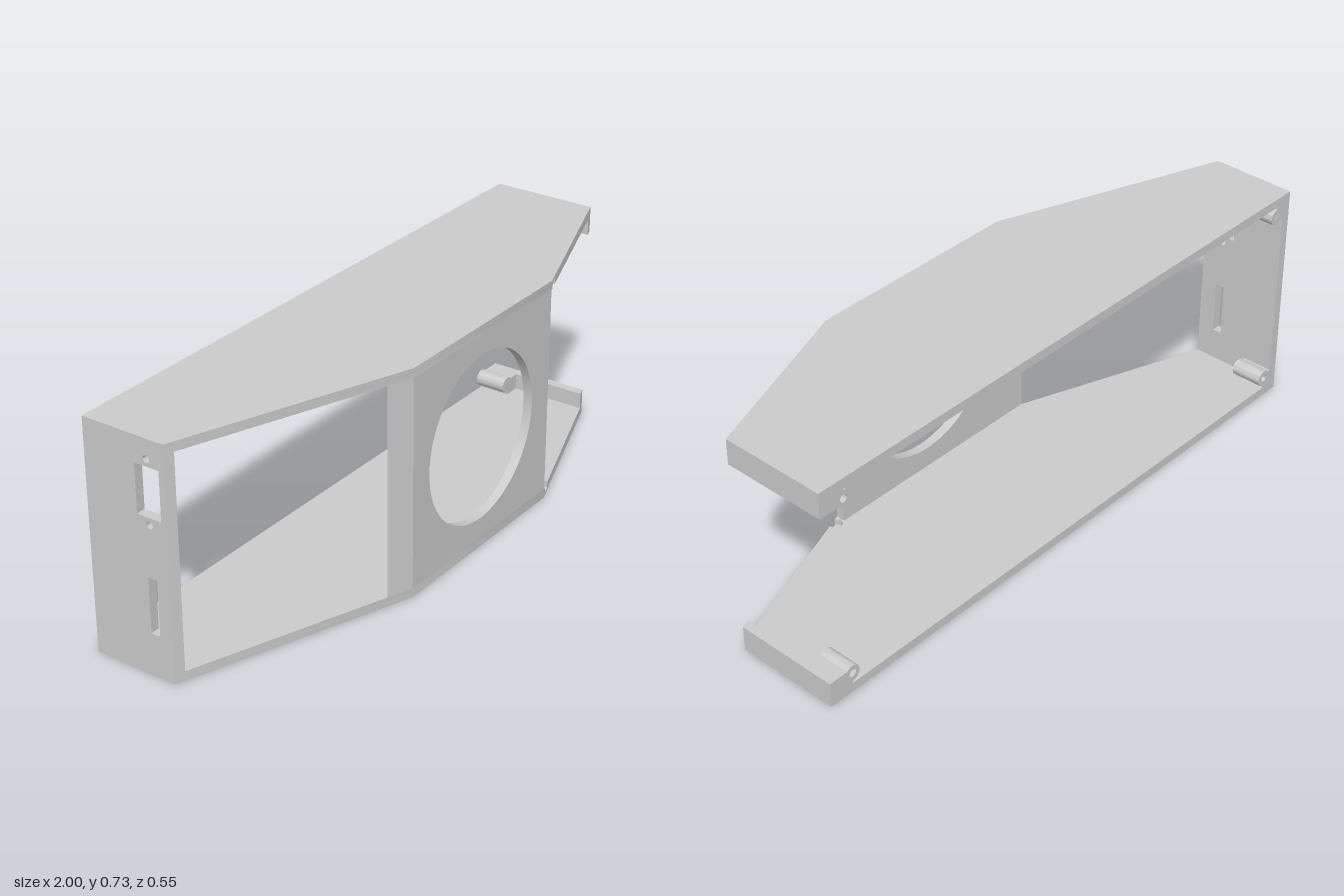
import * as THREE from 'three';
import { toCreasedNormals } from 'three/addons/utils/BufferGeometryUtils.js';

const H = 0.733, T = 0.03, BACK = -0.273, FRONT = 0.273;

export function createModel() {
  const group = new THREE.Group();
  const material = new THREE.MeshStandardMaterial({ color: 0xcccccc });
  const add = (name, geometry) => {
    const mesh = new THREE.Mesh(toCreasedNormals(geometry, 0.5), material);
    mesh.name = name;
    group.add(mesh);
  };
  const shapeOf = (pts) => new THREE.Shape(pts.map(([x, y]) => new THREE.Vector2(x, y)));
  const extrude = (shape, depth) =>
    new THREE.ExtrudeGeometry(shape, { depth, bevelEnabled: false, curveSegments: 48 });
  const circle = (x, y, r) => new THREE.Path().absarc(x, y, r, 0, Math.PI * 2, true);
  const rect = (x0, y0, x1, y1) => new THREE.Path([[x0, y0], [x0, y1], [x1, y1], [x1, y0]]
    .map(([x, y]) => new THREE.Vector2(x, y)));

  // Upright prism from a plan outline of [x, z] points; "top" mirrors it in height
  const prism = (name, plan, y0, y1, top = false) => {
    const g = extrude(shapeOf(plan.map(([x, z]) => [x, -z])), y1 - y0);
    g.rotateX(-Math.PI / 2).translate(0, top ? H - y1 : y0, 0);
    add(name, g);
  };

  // Round pivot socket that breaks through the slanted front edge
  const d = new THREE.Vector2(0.56, -0.203).normalize();
  const n = new THREE.Vector2(d.y, -d.x);
  const r = 0.02, inset = 0.012, a = Math.asin(inset / r);
  const socket = [];
  for (let i = 0; i <= 20; i++) {
    const t = -a + (Math.PI + 2 * a) * i / 20;
    const along = -r * Math.cos(t), deep = inset + r * Math.sin(t);
    socket.push([0.47 + d.x * along + n.x * deep, 0.262 + d.y * along + n.y * deep]);
  }
  const plateLeft = [[1, BACK], [-1, BACK], [-1, 0.004], [-0.27, FRONT], [0.44, FRONT]];
  const plate = [...plateLeft, [1, 0.07]];
  const socketPlate = [...plateLeft, ...socket, [1, 0.07]];
  const lip = [[0.97, BACK], [1, BACK], [1, 0.07], [0.97, 0.081]];

  // Screw boss joined to the side wall and plate by a web
  const boss = (side, top) => {
    const cu = side < 0 ? 0.03 : 0.055, cv = 0.035, br = 0.027;
    const place = (u, v) => [side * (0.97 - u), top ? H - T - v : T + v];
    const pts = [place(0, 0), place(cu, 0)];
    const a0 = -Math.PI / 2, a1 = Math.PI - Math.asin(0.018 / br);
    for (let i = 0; i <= 24; i++) {
      const t = a0 + (a1 - a0) * i / 24;
      pts.push(place(cu + br * Math.cos(t), cv + br * Math.sin(t)));
    }
    pts.push(place(0, 0.053));
    const drilled = shapeOf(pts);
    drilled.holes.push(circle(...place(cu, cv), 0.012));
    add('screwBoss', extrude(drilled, 0.09).translate(0, 0, BACK));
    add('screwBossEnd', extrude(shapeOf(pts), 0.013).translate(0, 0, BACK + 0.09));
  };

  // Top and bottom halves
  for (const top of [false, true]) {
    const where = top ? 'top' : 'bottom';
    prism(where + 'PlateOuter', plate, 0, 0.01, top);
    prism(where + 'PlateInner', socketPlate, 0.01, T, top);
    prism(where + 'SideLip', lip, T, 0.083, top);
    boss(-1, top);
    boss(1, top);
  }

  // Side wall with socket window, its two screw holes and a slot
  const wallShape = shapeOf([[-0.015, T], [-BACK, T], [-BACK, H - T], [-0.015, H - T]]);
  wallShape.holes.push(
    rect(0.015, 0.497, 0.098, 0.65),
    rect(0.041, 0.135, 0.072, 0.31),
    circle(0.056, 0.475, 0.011),
    circle(0.056, 0.672, 0.011));
  const wall = extrude(wallShape, T).rotateY(Math.PI / 2).translate(-1, 0, 0);
  // Slant the front edge to follow the plates
  const p = wall.attributes.position;
  for (let i = 0; i < p.count; i++) {
    if (p.getZ(i) > 0) p.setZ(i, 0.004 + (p.getX(i) + 1) * 0.368);
  }
  wall.computeVertexNormals();
  add('sideWall', wall);

  // Front panel with large round opening and a wedge-shaped end
  const panel = shapeOf([[-0.27, T], [0.44, T], [0.44, H - T], [-0.27, H - T]]);
  panel.holes.push(circle(0.08, 0.368, 0.27));
  add('frontPanel', extrude(panel, T).translate(0, 0, FRONT - T));
  prism('frontPanelWedge', [[-0.352, FRONT - T], [-0.27, FRONT - T], [-0.27, FRONT]], T, H - T);

  return group;
}
